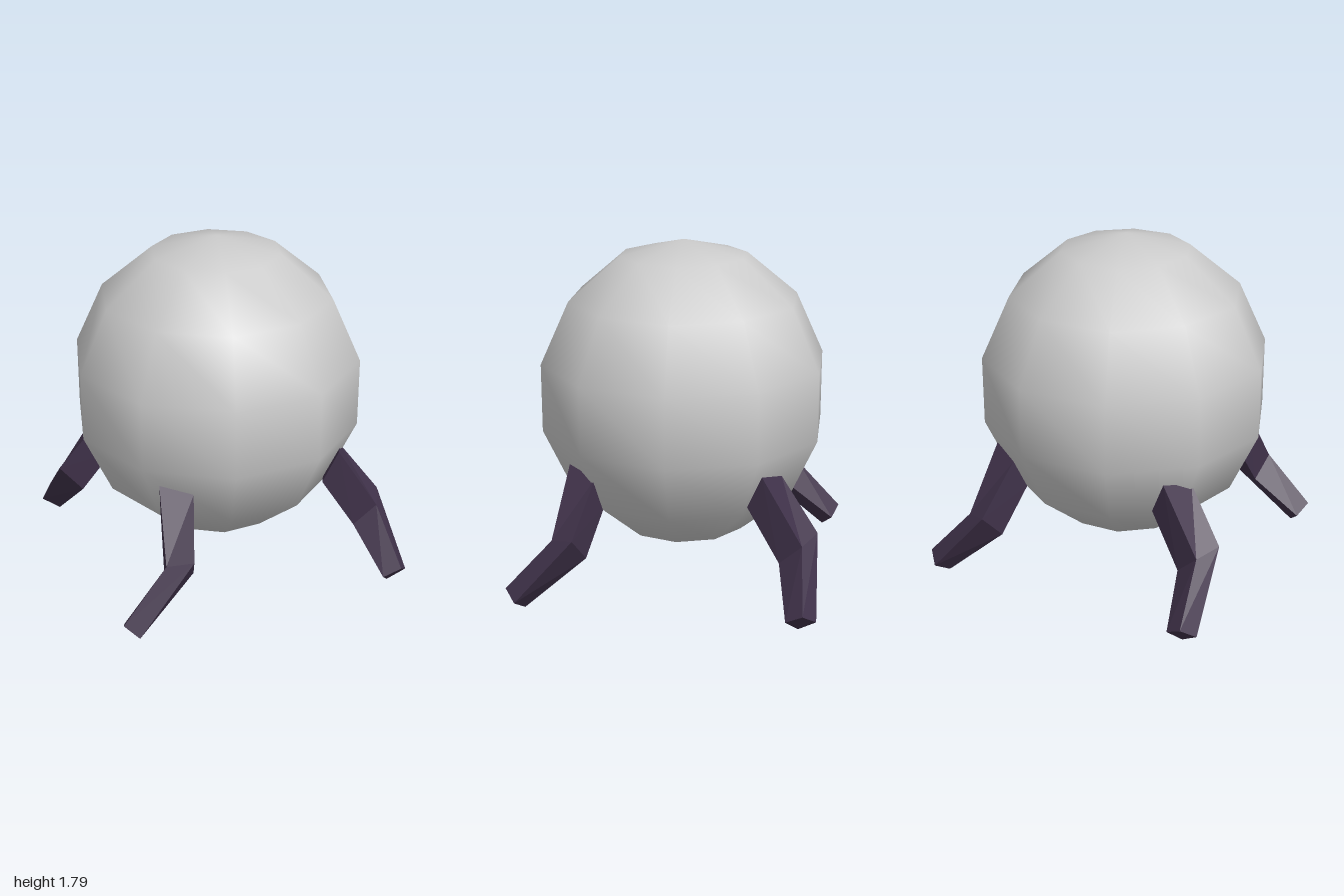
import * as THREE from 'three';

// Skin a list of four-cornered rings into a closed, flat-shaded limb.
function limbGeometry(rings) {
  const pos = [];
  const tri = (a, b, c) => pos.push(...a, ...b, ...c);
  const quad = (a, b, c, d) => { tri(a, b, c); tri(a, c, d); };
  for (let s = 0; s < rings.length - 1; s++) {
    const lower = rings[s], upper = rings[s + 1];
    for (let i = 0; i < 4; i++) {
      const j = (i + 1) % 4;
      quad(lower[i], lower[j], upper[j], upper[i]);
    }
  }
  const foot = rings[0], top = rings[rings.length - 1];
  quad(foot[0], foot[3], foot[2], foot[1]);
  quad(top[0], top[1], top[2], top[3]);
  const geometry = new THREE.BufferGeometry();
  geometry.setAttribute('position', new THREE.Float32BufferAttribute(pos, 3));
  geometry.computeVertexNormals();
  return geometry;
}

export function createModel() {
  const model = new THREE.Group();
  model.name = 'roundCreature';

  // Body: a coarse, smooth-shaded ball, slightly taller than wide
  const bodyMaterial = new THREE.MeshStandardMaterial({ color: 0xcccccc });
  const body = new THREE.Mesh(new THREE.SphereGeometry(1, 10, 7), bodyMaterial);
  body.name = 'body';
  body.scale.set(0.769, 0.806, 0.769);
  body.position.y = 0.985;
  model.add(body);

  // Leg rings from foot to hip; corners run outer, left, inner, right
  const foot = [[0.395, 0.11, 0.995], [0.475, 0.06, 0.96], [0.4, 0, 0.9], [0.325, 0.06, 0.935]];
  const knee = [[0.45, 0.375, 0.76], [0.555, 0.405, 0.67], [0.46, 0.27, 0.59], [0.352, 0.265, 0.69]];
  const hip = [[0.27, 0.71, 0.64], [0.4, 0.67, 0.53], [0.34, 0.5, 0.475], [0.21, 0.535, 0.585]];
  const legGeometry = limbGeometry([foot, knee, hip]);
  const legMaterial = new THREE.MeshStandardMaterial({ color: 0x40324a, flatShading: true });

  // Four bent legs, each a quarter turn from the last
  ['frontLeftLeg', 'backLeftLeg', 'backRightLeg', 'frontRightLeg'].forEach((name, i) => {
    const leg = new THREE.Mesh(legGeometry, legMaterial);
    leg.name = name;
    leg.rotation.y = i * Math.PI / 2;
    model.add(leg);
  });

  return model;
}
